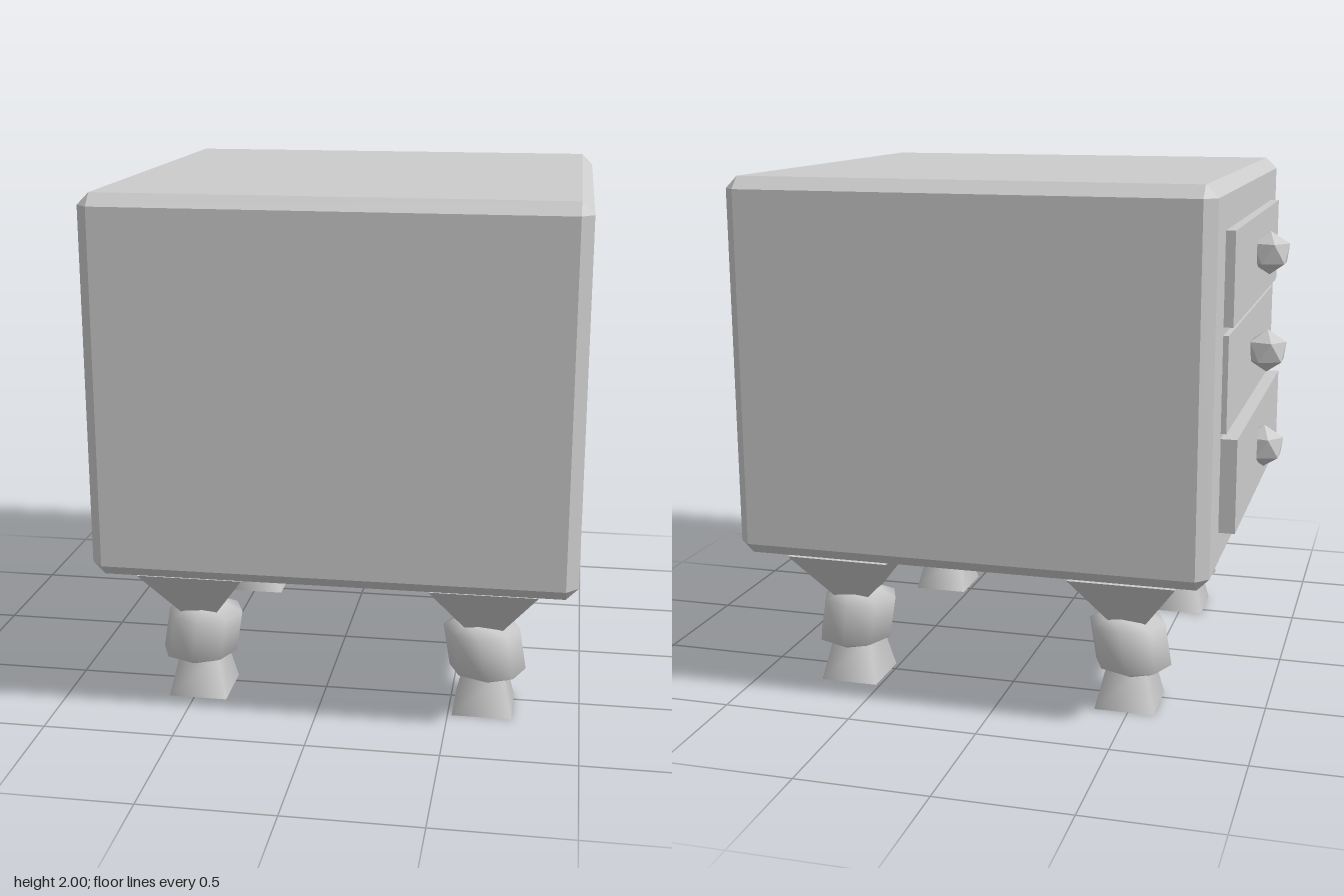
import * as THREE from 'three';
import { ConvexGeometry } from 'three/addons/geometries/ConvexGeometry.js';

const grey = new THREE.MeshStandardMaterial({ color: 0xcccccc });
const flatGrey = new THREE.MeshStandardMaterial({ color: 0xcccccc, flatShading: true });

function addMesh(parent, name, geometry, x = 0, y = 0, z = 0, material = grey) {
  const mesh = new THREE.Mesh(geometry, material);
  mesh.name = name;
  mesh.position.set(x, y, z);
  parent.add(mesh);
  return mesh;
}

// Box with chamfered edges: each corner gives three points, one per face
function chamferedBox(w, h, d, c) {
  const points = [];
  for (const sx of [-1, 1]) for (const sy of [-1, 1]) for (const sz of [-1, 1]) {
    for (let face = 0; face < 3; face++) {
      const inset = [c, c, c];
      inset[face] = 0;
      points.push(new THREE.Vector3(
        sx * (w / 2 - inset[0]), sy * (h / 2 - inset[1]), sz * (d / 2 - inset[2])));
    }
  }
  return new ConvexGeometry(points);
}

// Square tapered block, given half widths at top and bottom
function taper(topHalf, bottomHalf, height) {
  return new THREE.CylinderGeometry(topHalf * Math.SQRT2, bottomHalf * Math.SQRT2, height, 4)
    .rotateY(Math.PI / 4);
}

// Turned knuckle in the middle of a leg, leaning toward the cabinet's centre
function knuckle(lean) {
  const profile = [[0, -0.12], [0.07, -0.118], [0.147, -0.08], [0.147, 0.085], [0.075, 0.117], [0, 0.117]]
    .map(([r, y]) => new THREE.Vector2(r, y));
  const geometry = new THREE.LatheGeometry(profile, 8);
  geometry.applyMatrix4(new THREE.Matrix4().makeShear(0, 0, lean, 0, 0, 0));
  const p = geometry.attributes.position;
  // makeShear order-independent lean: offset x in proportion to height
  for (let i = 0; i < p.count; i++) {
    const r = profile[i % profile.length];
    const a = Math.floor(i / profile.length) / 8 * Math.PI * 2;
    p.setXYZ(i, r.x * Math.sin(a) + lean * r.y, r.y, r.x * Math.cos(a));
  }
  return geometry;
}

export function createModel() {
  const model = new THREE.Group();
  model.name = 'bedsideCabinet';

  addMesh(model, 'cabinetBody', chamferedBox(1.8, 1.425, 1.8, 0.045), 0.075, 1.2875, 0, flatGrey);

  // Drawers on the -x side: front face x, bottom, top, z centre, width
  const drawers = [
    [-0.86, 1.49, 1.83, 0, 1.34],
    [-0.845, 1.105, 1.46, 0, 1.34],
    [-0.885, 0.735, 1.085, -0.005, 1.32],
  ];
  drawers.forEach(([x, y0, y1, z, width], i) => {
    const drawer = new THREE.Group();
    drawer.name = `drawer${i + 1}`;
    model.add(drawer);
    const depth = -0.8 - x;
    addMesh(drawer, 'drawerFront', new THREE.BoxGeometry(depth, y1 - y0, width),
      x + depth / 2, (y0 + y1) / 2, z);
    // Faceted knob with one corner pointing up
    const knob = new THREE.IcosahedronGeometry(0.085, 0).rotateZ(0.5536);
    addMesh(drawer, 'drawerKnob', knob, -0.905, 1.68 - i * 0.387, 0, flatGrey);
  });

  // Four legs, each a foot, a knuckle and a flared top
  for (const [x, lean] of [[-0.485, 0.16], [0.63, -0.16]]) {
    for (const z of [-0.56, 0.56]) {
      const leg = new THREE.Group();
      leg.name = 'leg';
      leg.position.set(x, 0, z);
      model.add(leg);
      addMesh(leg, 'legFoot', taper(0.075, 0.114, 0.17), 0, 0.085, 0);
      addMesh(leg, 'legKnuckle', knuckle(lean), 0, 0.243, 0);
      addMesh(leg, 'legFlare', taper(0.203, 0.062, 0.205), 0, 0.4325, 0);
    }
  }
  return model;
}
